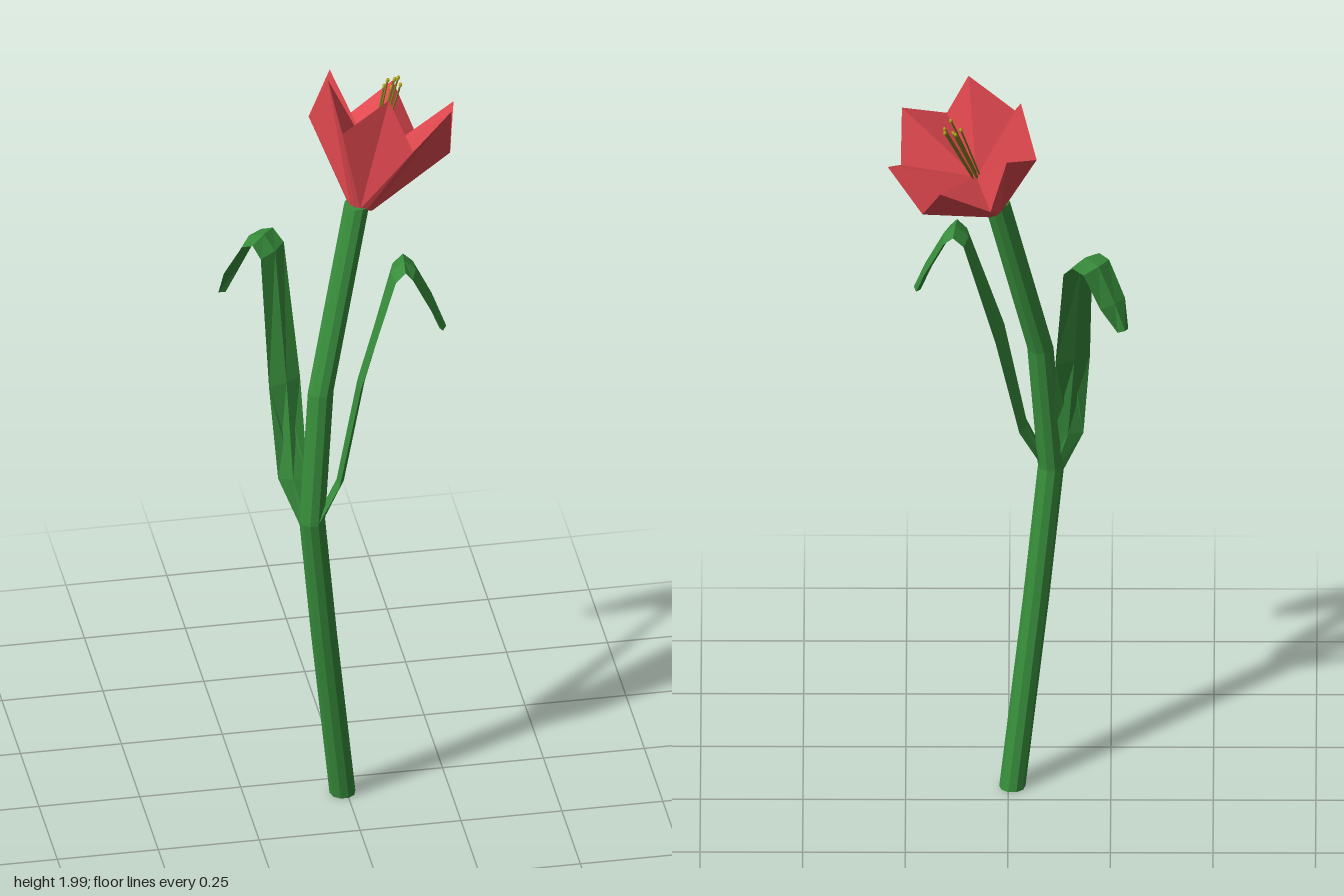
import * as THREE from 'three';

const V = (x, y, z) => new THREE.Vector3(x, y, z);
const paint = (color) => new THREE.MeshStandardMaterial({ color, flatShading: true, side: THREE.DoubleSide });

// Geometry from triangles given as Vector3 triples
function fromTriangles(tris) {
  const geometry = new THREE.BufferGeometry().setFromPoints(tris.flat());
  geometry.computeVertexNormals();
  return geometry;
}

// Skin a list of equal-sized rings (counter-clockwise seen from the far end) and cap both ends
function loft(rings) {
  const tris = [];
  const n = rings[0].length;
  for (let i = 0; i < rings.length - 1; i++) {
    for (let j = 0; j < n; j++) {
      const k = (j + 1) % n;
      const [a, b, c, d] = [rings[i][j], rings[i][k], rings[i + 1][k], rings[i + 1][j]];
      tris.push([a, b, c], [a, c, d]);
    }
  }
  const first = rings[0], last = rings[rings.length - 1];
  for (let j = 1; j < n - 1; j++) {
    tris.push([first[0], first[j + 1], first[j]], [last[0], last[j], last[j + 1]]);
  }
  return fromTriangles(tris);
}

// Leaf: each section is [x, y, z, half-width x, half-width z]
function leafGeometry(sections) {
  const centres = sections.map(([x, y, z]) => V(x, y, z));
  const rings = sections.map(([, , , wx, wz], i) => {
    const c = centres[i];
    const w = V(wx, 0, wz);
    const along = centres[Math.min(i + 1, centres.length - 1)].clone().sub(centres[Math.max(i - 1, 0)]);
    const t = along.cross(w).normalize().multiplyScalar(0.009);
    return [c.clone().add(w), c.clone().add(t), c.clone().sub(w), c.clone().sub(t)];
  });
  return loft(rings);
}

export function createModel() {
  const group = new THREE.Group();
  const green = paint(0x388e3c), red = paint(0xe0484f), olive = paint(0x77701c), yellow = paint(0xb5a820);
  const add = (name, geometry, material, parent = group) => {
    const mesh = new THREE.Mesh(geometry, material);
    mesh.name = name;
    parent.add(mesh);
    return mesh;
  };

  // Bent stem with level rings
  const stemPath = [[-0.01, 0, 0.066], [-0.068, 0.5, 0.132], [-0.104, 0.85, 0.17], [-0.078, 1.2, 0.143], [0.028, 1.67, 0.052]];
  add('stem', loft(stemPath.map(([x, y, z]) => Array.from({ length: 10 }, (_, i) => {
    const a = (i / 10) * Math.PI * 2;
    return V(x + 0.032 * Math.cos(a), y, z - 0.032 * Math.sin(a));
  }))), green);

  // Two arching leaves
  add('rightLeaf', leafGeometry([
    [-0.115, 0.84, 0.172, 0.02, 0.005],
    [-0.147, 0.96, 0.145, 0.036, 0.005],
    [-0.157, 1.2, 0.085, 0.042, -0.02],
    [-0.17, 1.52, -0.01, 0.035, -0.035],
    [-0.19, 1.55, -0.03, 0.032, -0.038],
    [-0.215, 1.54, -0.045, 0.031, -0.038],
    [-0.255, 1.45, -0.066, 0.03, -0.028],
    [-0.28, 1.38, -0.077, 0.013, -0.01],
  ]), green);
  add('leftLeaf', leafGeometry([
    [-0.095, 0.84, 0.178, -0.005, 0.02],
    [-0.035, 0.96, 0.172, -0.008, 0.036],
    [0.02, 1.23, 0.155, -0.01, 0.05],
    [0.105, 1.515, 0.138, -0.004, 0.046],
    [0.13, 1.54, 0.138, -0.005, 0.046],
    [0.15, 1.52, 0.142, -0.008, 0.046],
    [0.195, 1.43, 0.15, -0.008, 0.042],
    [0.222, 1.36, 0.157, -0.003, 0.018],
  ]), green);

  // Flower frame: local y is the tilted axis, local x points to the low side
  const flower = new THREE.Group();
  flower.name = 'flower';
  const axis = V(0.31, 0.886, -0.33).normalize();
  const side = V(1, 0, 1).normalize();
  const low = axis.clone().cross(side).normalize();
  side.crossVectors(low, axis);
  flower.setRotationFromMatrix(new THREE.Matrix4().makeBasis(low, axis, side));
  flower.position.set(0.04, 1.66, 0.045);
  group.add(flower);
  const polar = (r, h, degrees) => {
    const a = THREE.MathUtils.degToRad(degrees);
    return V(r * Math.cos(a), h, r * Math.sin(a));
  };

  // Six pointed petals, each with two outer and two inner facets
  for (let i = 0; i < 6; i++) {
    const mid = 30 + i * 60;
    const tip = polar(0.18, 0.292, mid);
    const heart = V(0, 0.12, 0);
    const tris = [];
    for (const s of [-30, 30]) {
      const corner = polar(0.178, 0.18, mid + s);
      const foot = polar(0.03, -0.005, mid), cornerFoot = polar(0.03, -0.005, mid + s);
      const faces = [[foot, tip, corner], [foot, corner, cornerFoot], [heart, corner, tip]];
      tris.push(...faces.map(([a, b, c]) => (s > 0 ? [a, b, c] : [a, c, b])));
    }
    add('petal' + (i + 1), fromTriangles(tris), red, flower);
  }

  // Stamens with small anthers around the flower's axis
  for (let i = 0; i < 6; i++) {
    const top = polar(i ? 0.02 : 0, 0.3 + 0.012 * (i % 3), i * 72);
    const path = new THREE.LineCurve3(polar(i ? 0.008 : 0, 0.1, i * 72), top);
    add('filament' + (i + 1), new THREE.TubeGeometry(path, 1, 0.0025, 5), olive, flower);
    const anther = add('anther' + (i + 1), new THREE.IcosahedronGeometry(0.005), yellow, flower);
    anther.position.copy(top);
    anther.scale.y = 1.4;
  }
  return group;
}
